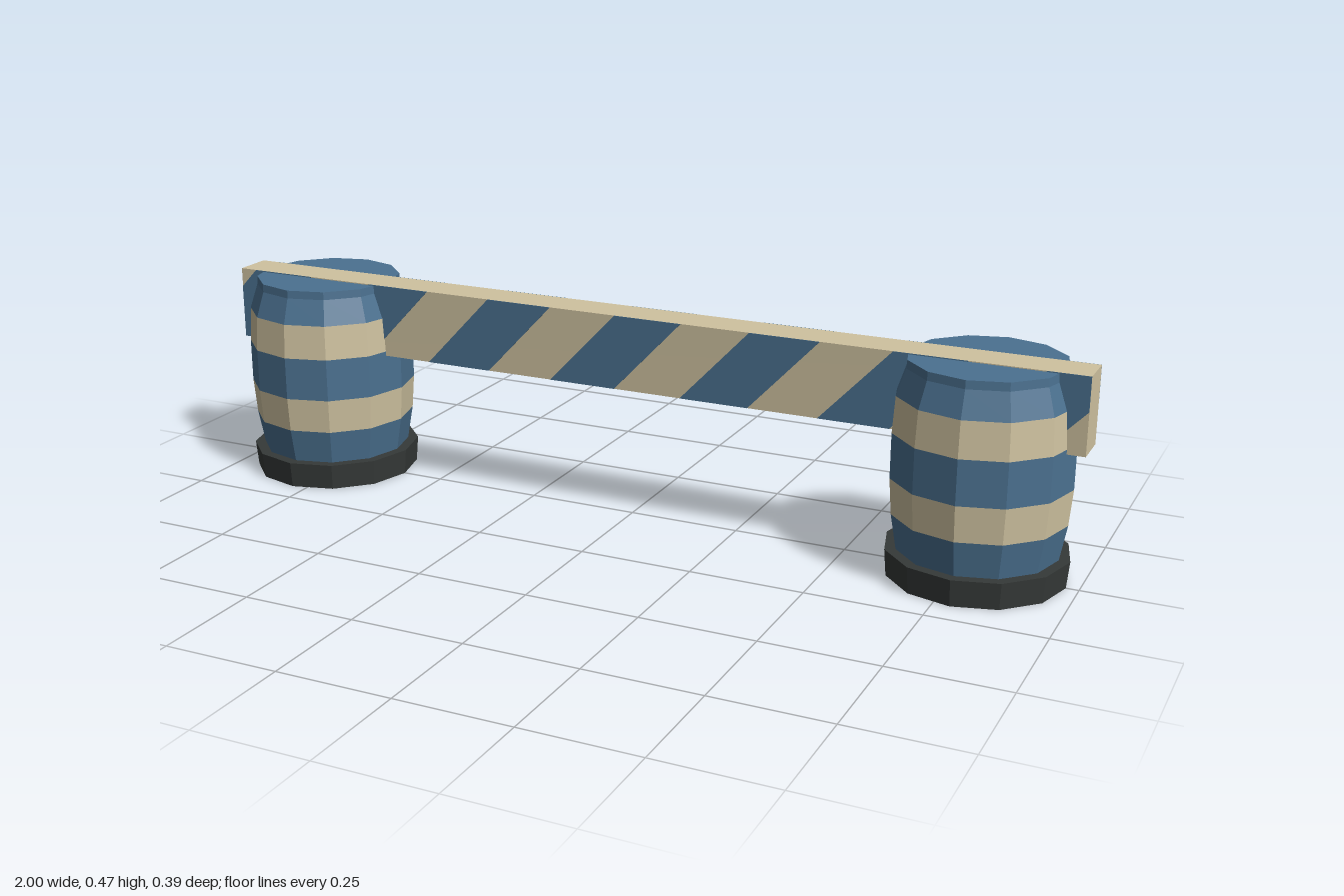
import * as THREE from 'three';

const mat = (name, color, extra = {}) => {
  const m = new THREE.MeshStandardMaterial({ color, flatShading: true, ...extra });
  m.name = name;
  return m;
};

export function createModel() {
  const blue = mat('blue paint', 0x4b7190);
  const tan = mat('cream paint', 0xcfc2a0);
  const dark = mat('dark rubber', 0x353938);
  const group = new THREE.Group();
  const SIDES = 12;

  const add = (parent, name, geometry, material) => {
    const mesh = new THREE.Mesh(geometry, material);
    mesh.name = name;
    parent.add(mesh);
    return mesh;
  };
  const lathe = (points) =>
    new THREE.LatheGeometry(points.map(([r, y]) => new THREE.Vector2(r, y)), SIDES);

  // Barrels: stacked painted bands on a dark base
  const bands = [
    ['lowerBand', blue, [[0.169, 0.055], [0.183, 0.135]]],
    ['lowerCreamBand', tan, [[0.183, 0.135], [0.189, 0.213]]],
    ['middleBand', blue, [[0.189, 0.213], [0.189, 0.31]]],
    ['upperCreamBand', tan, [[0.189, 0.31], [0.184, 0.388]]],
    ['upperBandAndLid', blue, [[0.184, 0.388], [0.165, 0.445], [0.164, 0.463], [0, 0.463]]],
  ];
  for (const side of [-1, 1]) {
    const barrel = new THREE.Group();
    barrel.name = side > 0 ? 'leftBarrel' : 'rightBarrel';
    barrel.position.x = side * 0.785;
    for (const [name, material, profile] of bands) add(barrel, name, lathe(profile), material);
    add(barrel, 'base', lathe([[0, 0], [0.188, 0], [0.193, 0.058], [0.165, 0.058]]), dark);
    group.add(barrel);
  }

  // Cross beam
  const y0 = 0.3, y1 = 0.465, h = y1 - y0, halfDepth = 0.043;
  const beam = new THREE.Group();
  beam.name = 'beam';
  group.add(beam);
  add(beam, 'beamBody', new THREE.BoxGeometry(2, h, halfDepth * 2), tan)
    .position.y = (y0 + y1) / 2;

  // Keep the part of a polygon where side * x <= 1
  const clip = (poly, side) => poly.flatMap((a, i) => {
    const b = poly[(i + 1) % poly.length];
    const aIn = side * a[0] <= 1, bIn = side * b[0] <= 1;
    const out = aIn ? [a] : [];
    if (aIn !== bIn) {
      const t = (side - a[0]) / (b[0] - a[0]);
      out.push([side, a[1] + t * (b[1] - a[1])]);
    }
    return out;
  });

  // Diagonal stripes on the front and back of the beam
  const pitch = 0.312, width = 0.156, lean = 0.157;
  for (let k = -2; k <= 4; k++) {
    const x = -0.492 + k * pitch;
    const corners = [[x, y0], [x + width, y0], [x + width + lean, y1], [x + lean, y1]];
    const poly = clip(clip(corners, 1), -1);
    const shape = new THREE.Shape(poly.map(([px, py]) => new THREE.Vector2(px, py)));
    const plate = new THREE.ExtrudeGeometry(shape, { depth: 0.001, bevelEnabled: false });
    add(beam, 'frontStripe', plate, blue).position.z = halfDepth;
    add(beam, 'backStripe', plate, blue).position.z = -halfDepth - 0.001;
  }
  return group;
}
